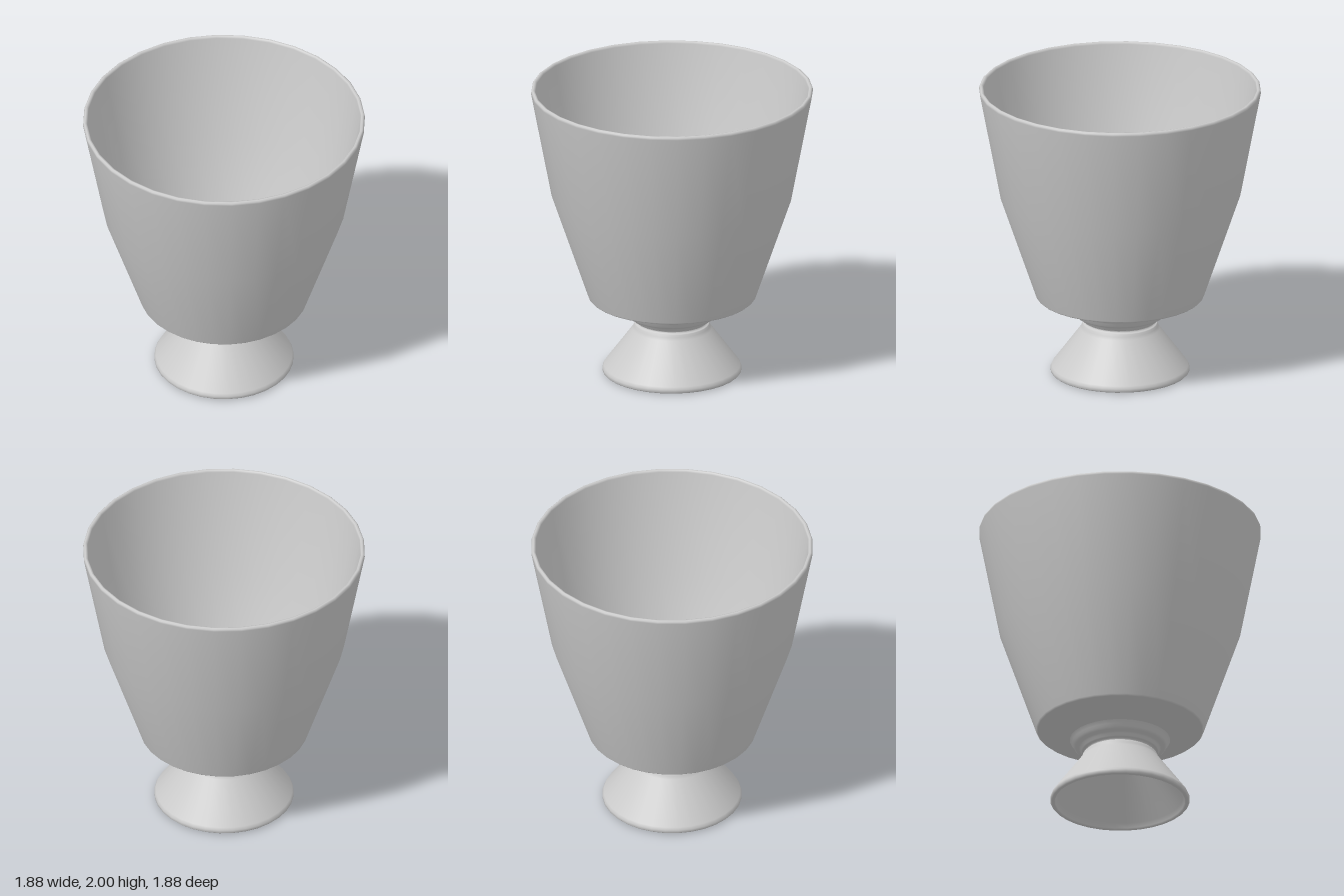
import * as THREE from 'three';

const SEGMENTS = 32;

// Revolve a [radius, height] profile; outer walls run upward, inner walls downward
function turned(name, profile) {
  const points = profile.map(([r, y]) => new THREE.Vector2(r, y));
  const material = new THREE.MeshStandardMaterial({ color: 0xcccccc });
  const mesh = new THREE.Mesh(new THREE.LatheGeometry(points, SEGMENTS), material);
  mesh.name = name;
  return mesh;
}

export function createModel() {
  const group = new THREE.Group();
  group.name = 'footedCup';

  // Hollow flared foot: ceiling, inner wall, rounded base lip, outer wall, top step
  group.add(turned('foot', [
    [0, 0.34], [0.2, 0.34], [0.225, 0.32], [0.24, 0.29],
    [0.42, 0.04], [0.43, 0.01], [0.44, 0],
    [0.455, 0.003], [0.464, 0.012], [0.464, 0.03], [0.455, 0.048],
    [0.265, 0.305], [0.255, 0.325], [0.25, 0.34], [0.245, 0.345], [0.235, 0.347], [0.233, 0.356],
  ]));

  // Moulded collar between foot and bowl
  group.add(turned('collar', [
    [0.233, 0.356], [0.235, 0.366], [0.25, 0.368], [0.258, 0.374], [0.264, 0.388],
    [0.275, 0.397], [0.298, 0.405], [0.312, 0.418], [0.318, 0.435], [0.335, 0.456],
  ]));

  // Thin-walled bowl: outer wall, rounded rim, inner wall, sunken round floor
  group.add(turned('bowl', [
    [0.335, 0.456], [0.548, 0.529], [0.56, 0.54],
    [0.802, 1.25], [0.94, 1.978], [0.938, 1.992], [0.929, 2],
    [0.917, 1.998], [0.91, 1.985],
    [0.775, 1.255], [0.535, 0.56], [0.52, 0.548],
    [0.315, 0.478], [0.302, 0.47], [0.295, 0.455], [0.287, 0.435], [0.275, 0.428], [0, 0.42],
  ]));

  return group;
}
